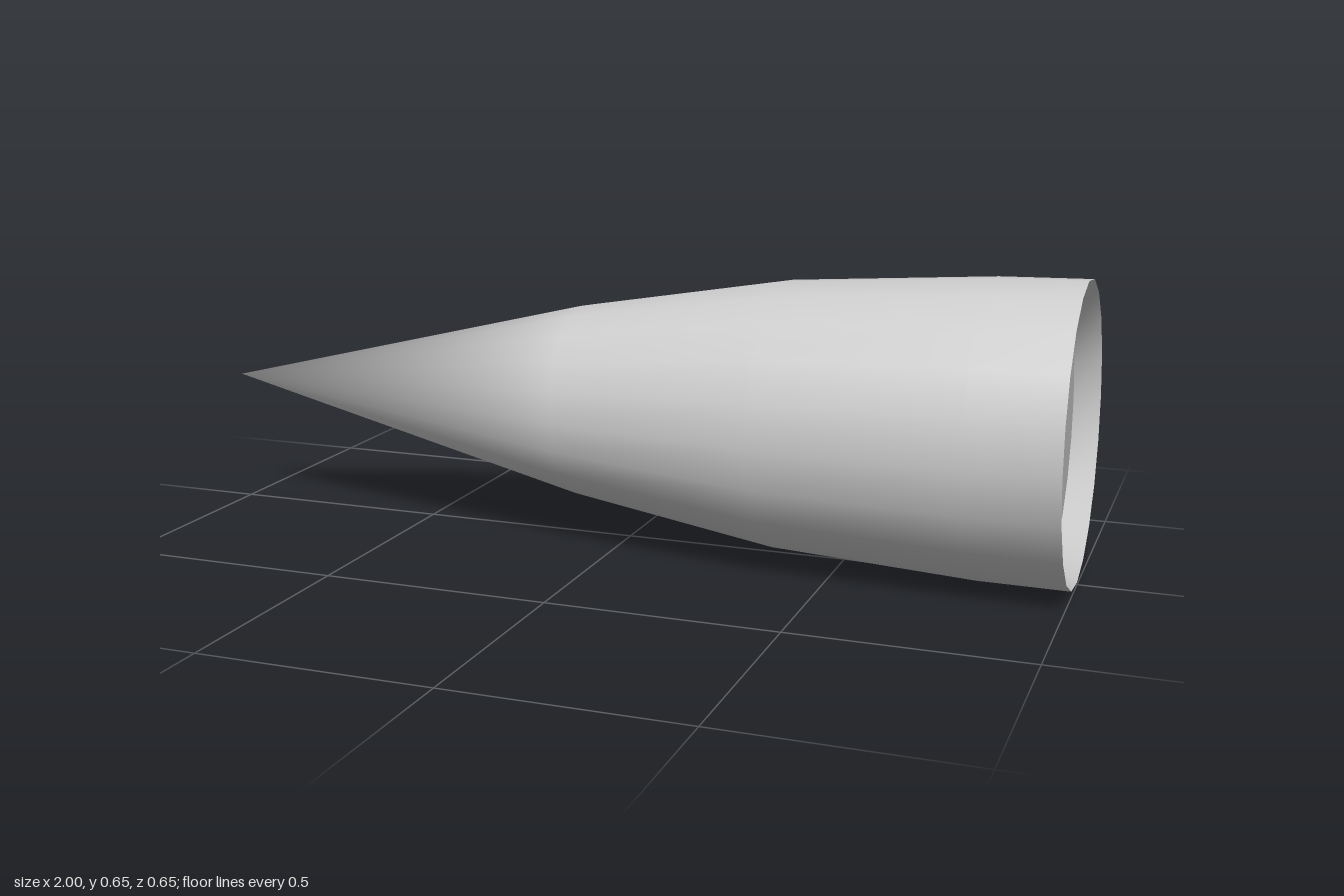
import * as THREE from 'three';
import { mergeVertices } from 'three/addons/utils/BufferGeometryUtils.js';

const SIDES = 20;
const PHASE = 0.058;
const LENGTH = 1.996;
const RIM = 0.323;
const FLOOR = { radius: 0.287, height: LENGTH - 0.055 };

// Lathe with shared vertices and smooth normals
function smoothLathe(profile) {
  const points = profile.map(([r, y]) => new THREE.Vector2(r, y));
  const geometry = new THREE.LatheGeometry(points, SIDES, PHASE);
  geometry.deleteAttribute('normal');
  geometry.deleteAttribute('uv');
  const merged = mergeVertices(geometry, 1e-5);
  merged.computeVertexNormals();
  return merged;
}

export function createModel() {
  const group = new THREE.Group();
  group.name = 'noseCone';
  const material = new THREE.MeshStandardMaterial({ color: 0xcccccc });

  const addPart = (name, profile) => {
    const mesh = new THREE.Mesh(smoothLathe(profile), material);
    mesh.name = name;
    group.add(mesh);
  };

  // Pointed outer shell, from tip to rim
  addPart('shell', [[0, 0], [0.214, 0.89], [0.292, 1.355], [0.32, 1.8], [RIM, LENGTH]]);
  // Sloped wall inside the open end
  addPart('innerWall', [[RIM, LENGTH], [FLOOR.radius, FLOOR.height]]);
  // Recessed flat base
  addPart('basePlate', [[FLOOR.radius, FLOOR.height], [0, FLOOR.height]]);

  // Lay the cone on its side with a very slight tilt, tip towards -x
  const axis = new THREE.Vector3(1.996, 0.015, -0.017).normalize();
  group.quaternion.setFromUnitVectors(new THREE.Vector3(0, 1, 0), axis);
  group.position.set(-1, 0.31, 0.017);
  return group;
}
